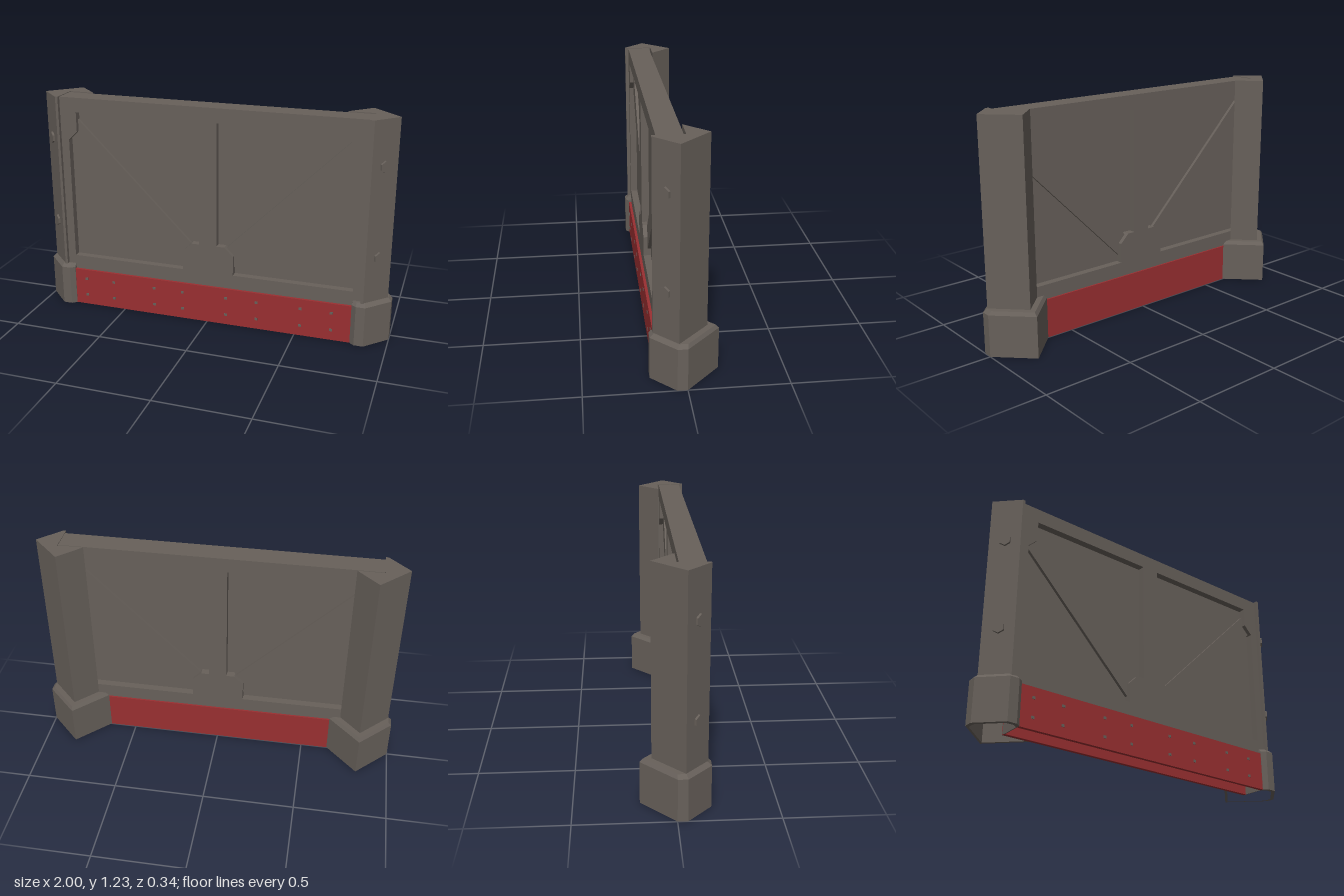
import * as THREE from 'three';

const grey = new THREE.MeshStandardMaterial({ color: 0x67605a });
grey.name = 'gunmetal grey';
const red = new THREE.MeshStandardMaterial({ color: 0x992f31 });
red.name = 'dark red';

const mirror = (points, s) => points.map(([a, b]) => [a * s, b]);
const toShape = (points) => new THREE.Shape(points.map(([a, b]) => new THREE.Vector2(a, b)));

// Outline in x/y, extruded from z0 to z1
function plate(points, z0, z1) {
  const g = new THREE.ExtrudeGeometry(toShape(points), { depth: z1 - z0, bevelEnabled: false });
  return g.translate(0, 0, z0);
}

// Outline in x/z, extruded upward from y0 to y1, with an optional hole
function column(points, y0, y1, hole, steps = 1) {
  const flip = (pts) => pts.map(([x, z]) => [x, -z]);
  const shape = toShape(flip(points));
  if (hole) shape.holes.push(toShape(flip(hole)));
  const g = new THREE.ExtrudeGeometry(shape, { depth: y1 - y0, bevelEnabled: false, steps });
  return g.rotateX(-Math.PI / 2).translate(0, y0, 0);
}

function box(x0, x1, y0, y1, z0, z1) {
  return new THREE.BoxGeometry(x1 - x0, y1 - y0, z1 - z0)
    .translate((x0 + x1) / 2, (y0 + y1) / 2, (z0 + z1) / 2);
}

export function createModel() {
  const model = new THREE.Group();
  model.name = 'wallSegment';
  const add = (name, geometry, material = grey) => {
    const mesh = new THREE.Mesh(geometry, material);
    mesh.name = name;
    model.add(mesh);
    return mesh;
  };

  const back = 0.01, front = 0.135;

  // Recessed panel and the frame around it
  add('recessedPanel', box(-0.84, 0.84, 0.05, 1.2, 0.05, 0.095));
  add('topRail', box(-0.86, 0.86, 1.145, 1.225, back, front));
  add('bottomRail', box(-0.86, 0.86, 0.1, 0.295, back, front));
  add('centreMullion', box(-0.05, 0.05, 0.295, 1.145, back, front));
  add('centreGusset', plate([
    [-0.145, 0.29], [0.145, 0.29], [0.145, 0.405], [0.095, 0.455], [-0.095, 0.455], [-0.145, 0.405],
  ], back, front));

  // Red kick plates on both faces
  add('frontKickPlate', box(-0.805, 0.805, 0, 0.215, 0.13, 0.15), red);
  add('backKickPlate', box(-0.805, 0.805, 0, 0.215, 0, 0.02), red);

  // Small rivets on the front kick plate
  for (const x of [-0.735, -0.565, -0.315, -0.145, 0.11, 0.285, 0.53, 0.7]) {
    for (const y of [0.06, 0.16]) {
      add('rivet', box(x - 0.008, x + 0.008, y - 0.007, y + 0.007, 0.149, 0.153));
    }
  }

  const shaftOutline = [
    [0.98, 0.04], [0.865, 0.155], [0.85, 0.155], [0.85, 0], [0.71, 0], [0.825, -0.115],
  ];
  const baseOutline = [
    [1, 0], [1, 0.05], [0.88, 0.172], [0.83, 0.172], [0.805, 0.152],
    [0.8, 0], [0.65, 0], [0.825, -0.173],
  ];
  const cx = 0.84, cz = -0.02;
  const baseHole = baseOutline.map(([x, z]) => [cx + (x - cx) * 0.88, cz + (z - cz) * 0.88]);

  for (const s of [1, -1]) {
    const side = s > 0 ? 'left' : 'right';

    // Side stile, corner gusset and diagonal brace
    add(side + 'Stile', plate(mirror([[0.805, 0.2], [0.86, 0.2], [0.86, 1.2], [0.805, 1.2]], s), back, front));
    add(side + 'CornerGusset', plate(mirror([
      [0.85, 1.15], [0.755, 1.15], [0.755, 1.035], [0.805, 0.985], [0.85, 0.985],
    ], s), back, front));
    add(side + 'Brace', plate(mirror([
      [0.83, 1.02], [0.83, 1.14], [0.795, 1.14], [0.04, 0.385], [0.04, 0.23],
    ], s), 0.033, 0.112));

    // Diagonal post
    add(side + 'Post', column(mirror(shaftOutline, s), 0.2, 1.228));

    // Hollow footing, its top edge drawn in to form a chamfer
    add(side + 'Footing', column(mirror(baseOutline, s), 0, 0.226, mirror(baseHole, s)));
    const cap = column(mirror(baseOutline, s), 0.226, 0.245);
    const p = cap.attributes.position;
    for (let i = 0; i < p.count; i++) {
      if (p.getY(i) < 0.24) continue;
      p.setX(i, s * cx + (p.getX(i) - s * cx) * 0.89);
      p.setZ(i, cz + (p.getZ(i) - cz) * 0.89);
    }
    cap.computeVertexNormals();
    add(side + 'FootingChamfer', cap);

    // Hexagonal bolts on the outer front face
    for (const y of [0.49, 0.983]) {
      const bolt = new THREE.CylinderGeometry(0.031, 0.031, 0.02, 6).toNonIndexed();
      bolt.computeVertexNormals();
      bolt.rotateX(Math.PI / 2).rotateY(s * Math.PI / 4).translate(s * 0.922, y, 0.1);
      add(side + 'Bolt', bolt);
    }
  }

  return model;
}
